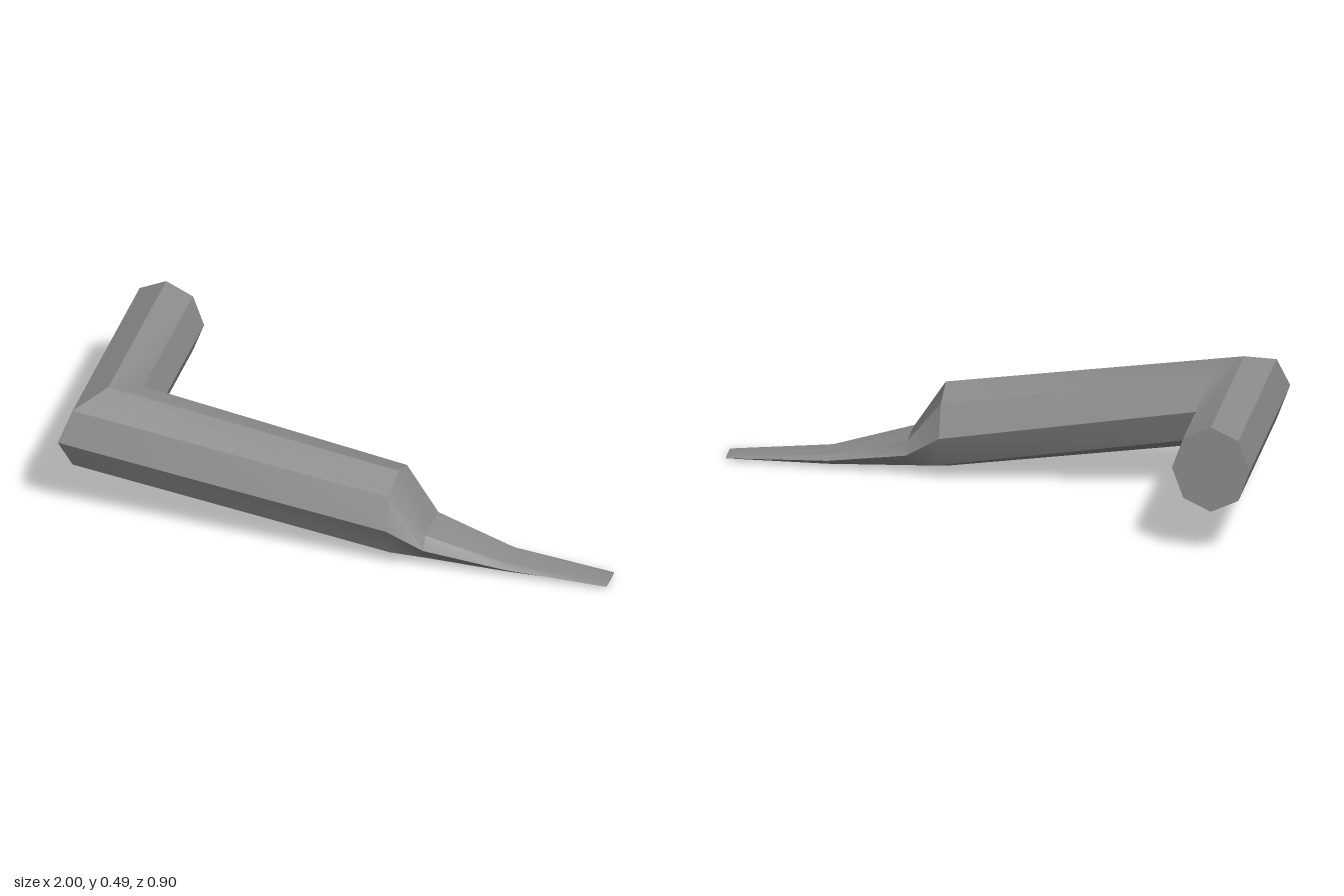
import * as THREE from 'three';
import { toCreasedNormals } from 'three/addons/utils/BufferGeometryUtils.js';

const SIDES = 8;
const AXIS_X = -0.86, AXIS_Z = 0.288;

// Skin consecutive rings of points and close both ends with fans
function loft(rings) {
  const index = [];
  const last = (rings.length - 1) * SIDES;
  for (let r = 0; r < rings.length - 1; r++) {
    for (let k = 0; k < SIDES; k++) {
      const a = r * SIDES + k, b = r * SIDES + (k + 1) % SIDES;
      index.push(a, b, b + SIDES, a, b + SIDES, a + SIDES);
    }
  }
  for (let k = 1; k < SIDES - 1; k++) {
    index.push(0, k + 1, k, last, last + k, last + k + 1);
  }
  const geometry = new THREE.BufferGeometry();
  geometry.setAttribute('position', new THREE.Float32BufferAttribute(rings.flat(2), 3));
  geometry.setIndex(index);
  return toCreasedNormals(geometry, 0.5);
}

// Octagon of the short arm; mitred means cut along the corner diagonal
function armRing(mitred) {
  return Array.from({ length: SIDES }, (_, k) => {
    const a = k * Math.PI * 2 / SIDES;
    const out = Math.sin(a);
    return [AXIS_X - 0.14 * out, 0.33 + 0.16 * Math.cos(a), mitred ? AXIS_Z + 0.161 * out : -0.45];
  });
}

// Section of the long shaft: heights from top to bottom, half widths at diagonals and sides
function shaftRing(x, [top, upper, side, lower, bottom], diagonal, wide) {
  return [
    [0, top], [diagonal, upper], [wide, side], [diagonal, lower],
    [0, bottom], [-diagonal, lower], [-wide, side], [-diagonal, upper],
  ].map(([z, y]) => [x, y, AXIS_Z + z]);
}

export function createModel() {
  const steel = new THREE.MeshStandardMaterial({ color: 0x8c8c8c });
  steel.name = 'grey steel';
  const bar = new THREE.Mesh(loft([
    armRing(false),
    armRing(true),
    // shaft end, shoulder, blade and flat tip
    shaftRing(0.215, [0.33, 0.285, 0.17, 0.055, 0.01], 0.113, 0.161),
    shaftRing(0.34, [0.133, 0.128, 0.083, 0.035, 0.006], 0.082, 0.115),
    shaftRing(0.63, [0.05, 0.047, 0.032, 0.013, 0], 0.055, 0.077),
    shaftRing(1, [0.014, 0.013, 0.01, 0.008, 0.007], 0.035, 0.051),
  ]), steel);
  bar.name = 'bentBarWithFlatTip';
  const group = new THREE.Group();
  group.name = 'leverTool';
  group.add(bar);
  return group;
}
